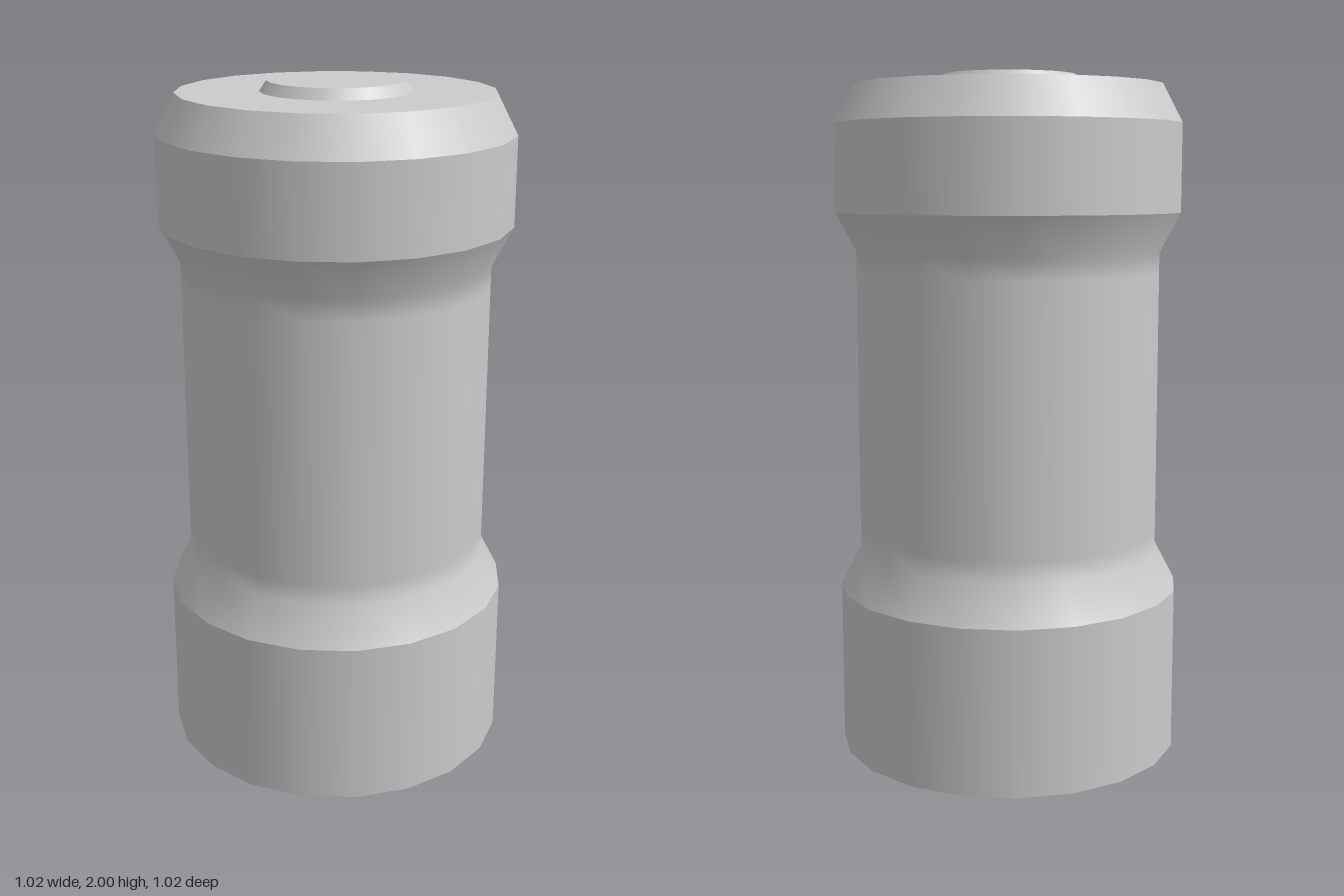
import * as THREE from 'three';

const SIDES = 20;

export function createModel() {
  const model = new THREE.Group();
  const material = new THREE.MeshStandardMaterial({ color: 0xcccccc });

  // Each band is its own lathe: smooth inside, sharp where bands meet.
  // Profiles are [radius, height], running bottom to top.
  function band(name, profile) {
    const points = profile.map(([r, y]) => new THREE.Vector2(r, y));
    const mesh = new THREE.Mesh(new THREE.LatheGeometry(points, SIDES), material);
    mesh.name = name;
    model.add(mesh);
  }

  // Wide foot
  band('bottomCap', [[0, 0], [0.51, 0]]);
  band('lowerCollar', [[0.51, 0], [0.51, 0.485]]);

  // Narrow waist blending into the flared ends
  band('waist', [
    [0.51, 0.485], [0.45, 0.6], [0.45, 0.66],
    [0.45, 1.43], [0.45, 1.49], [0.51, 1.605],
  ]);

  // Head with a bevelled shoulder
  band('upperCollar', [[0.51, 1.605], [0.51, 1.86]]);
  band('shoulderBevel', [[0.51, 1.86], [0.452, 1.97]]);
  band('topCap', [[0.452, 1.97], [0, 1.97]]);

  // Raised contact button
  band('buttonBevel', [[0.216, 1.97], [0.196, 2]]);
  band('buttonTop', [[0.196, 2], [0, 2]]);

  return model;
}
